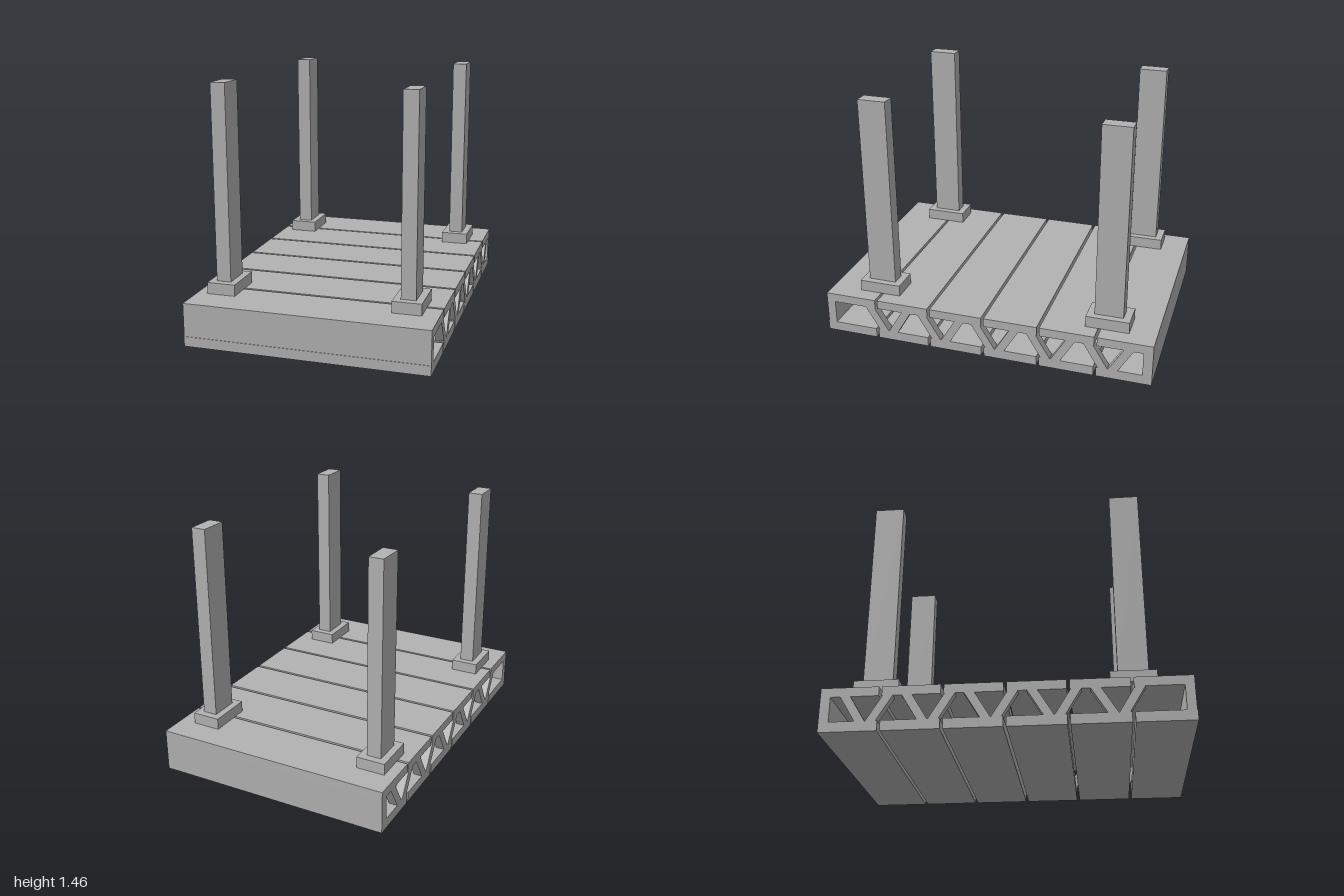
import * as THREE from 'three';

export function createModel() {
  const model = new THREE.Group();
  model.name = 'trussPlatform';
  const grey = new THREE.MeshStandardMaterial({ color: 0xb2b2b2 });
  grey.name = 'grey';

  // Box given by its minimum and maximum corners
  function box(name, [x0, y0, z0], [x1, y1, z1]) {
    const mesh = new THREE.Mesh(new THREE.BoxGeometry(x1 - x0, y1 - y0, z1 - z0), grey);
    mesh.position.set((x0 + x1) / 2, (y0 + y1) / 2, (z0 + z1) / 2);
    mesh.name = name;
    model.add(mesh);
  }

  const halfWidth = 0.705, low = 0.058, high = 0.2, deck = 0.253;
  const pitch = 0.336, plank = 0.32;

  // Upper and lower decks, six planks each
  for (let i = 0; i < 6; i++) {
    const z = -1 + i * pitch;
    const front = i === 5 ? 0.997 : z + plank;
    box('topPlank', [-halfWidth, high, z], [halfWidth, deck, front]);
    box('bottomPlank', [-halfWidth, 0, z], [halfWidth, low, z + plank]);
  }

  // Closed end walls
  box('frontWall', [-halfWidth, low, 0.945], [halfWidth, high, 0.997]);
  box('backWall', [-halfWidth, low, -1], [halfWidth, high, -0.945]);

  // Slanted truss bars, paired into V shapes along both sides
  const barWidth = 0.05, half = 0.028;
  function bar(side, zBottom, zTop) {
    // Shape x runs along -z once the extrusion is turned to face +x
    const shape = new THREE.Shape([
      new THREE.Vector2(-zBottom - half, low),
      new THREE.Vector2(-zBottom + half, low),
      new THREE.Vector2(-zTop + half, high),
      new THREE.Vector2(-zTop - half, high),
    ]);
    const geometry = new THREE.ExtrudeGeometry(shape, { depth: barWidth, bevelEnabled: false });
    geometry.rotateY(Math.PI / 2);
    const mesh = new THREE.Mesh(geometry, grey);
    mesh.position.x = side > 0 ? halfWidth - barWidth : -halfWidth;
    mesh.name = 'trussBar';
    model.add(mesh);
  }
  for (const side of [-1, 1]) {
    for (let i = 0; i < 5; i++) {
      const centre = 0.597 - i * pitch;
      for (const lean of [-1, 1]) bar(side, centre + lean * 0.03, centre + lean * 0.116);
    }
  }

  // Four posts on base blocks
  for (const x of [-0.557, 0.526]) {
    for (const z of [-0.716, 0.685]) {
      box('postBase', [x - 0.084, deck, z - 0.127], [x + 0.084, 0.32, z + 0.127]);
      box('post', [x - 0.043, 0.32, z - 0.084], [x + 0.043, 1.459, z + 0.084]);
    }
  }

  return model;
}
